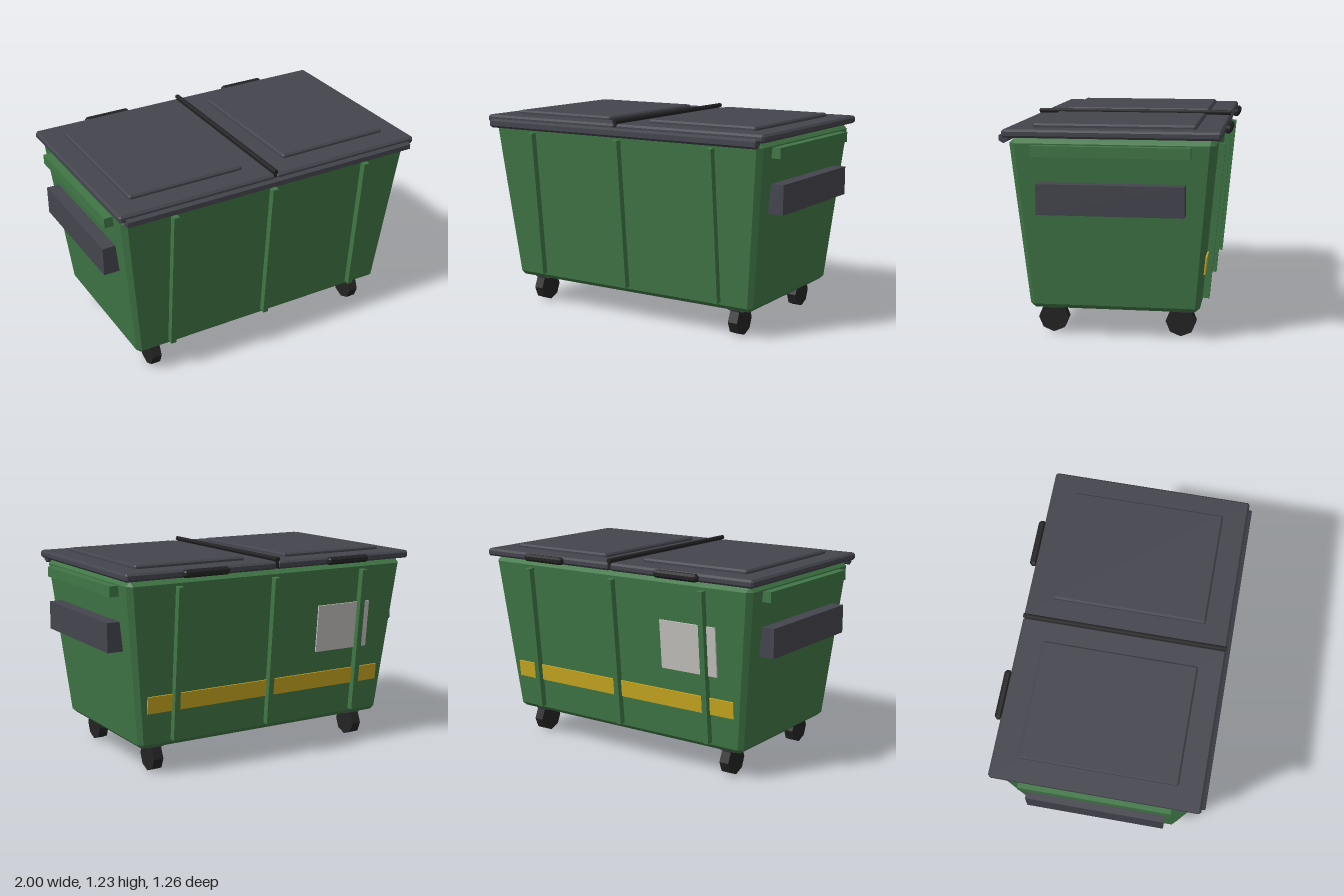
import * as THREE from 'three';
import { ConvexGeometry } from 'three/addons/geometries/ConvexGeometry.js';

const material = (name, color) => {
  const m = new THREE.MeshStandardMaterial({ color });
  m.name = name;
  return m;
};

// Box with chamfered edges; reshape can taper its points
function chamferBox(w, h, d, c, reshape = (p) => p) {
  const points = [];
  for (const sx of [-1, 1]) for (const sy of [-1, 1]) for (const sz of [-1, 1]) {
    for (let axis = 0; axis < 3; axis++) {
      const inset = [0, 1, 2].map((i) => (i === axis ? 0 : c));
      points.push(reshape(new THREE.Vector3(
        sx * (w / 2 - inset[0]), sy * (h / 2 - inset[1]), sz * (d / 2 - inset[2]))));
    }
  }
  return new ConvexGeometry(points);
}

export function createModel() {
  const green = material('body green', 0x407646);
  const grey = material('lid grey', 0x44444e);
  const black = material('rubber black', 0x232325);
  const yellow = material('stripe yellow', 0xc8a720);
  const silver = material('label silver', 0xc4c2be);

  const model = new THREE.Group();
  model.name = 'wheeledBin';
  const bin = new THREE.Group();
  bin.name = 'bin';
  bin.position.z = 0.006;
  model.add(bin);

  const add = (name, geometry, mat, x = 0, y = 0, z = 0, parent = bin) => {
    const mesh = new THREE.Mesh(geometry, mat);
    mesh.name = name;
    mesh.position.set(x, y, z);
    parent.add(mesh);
    return mesh;
  };

  // Tapered body, wider at the rim
  const rise = (y) => (y - 0.19) / 0.935;
  const wallZ = (y) => 0.483 + 0.086 * rise(y);
  const lean = Math.atan(0.086 / 0.935);
  add('body', chamferBox(1.7, 0.98, 0.966, 0.026, (p) => {
    p.y += 0.656;
    p.x *= 1 + (0.095 / 0.85) * rise(p.y);
    p.z *= wallZ(p.y) / 0.483;
    return p;
  }), green);
  add('rimSeal', new THREE.BoxGeometry(1.76, 0.03, 1.02), black, 0, 1.147, 0);

  // Leaning ribs on front and back
  const ribGeometry = new THREE.BoxGeometry(0.034, 0.9, 0.06);
  for (const turn of [0, Math.PI]) {
    const wall = new THREE.Group();
    wall.name = turn ? 'backRibs' : 'frontRibs';
    wall.rotation.y = turn;
    bin.add(wall);
    for (const x of [-0.635, 0, 0.635]) {
      add('rib', ribGeometry, green, x, 0.655, wallZ(0.655) + 0.009, wall).rotation.x = lean;
    }
  }

  // Thin plates on the back wall
  const backPlate = (name, mat, x, y, w, h) => {
    add(name, new THREE.BoxGeometry(w, h, 0.0095), mat, x, y, -wallZ(y) - 0.004).rotation.x = -lean;
  };
  backPlate('warningStripe', yellow, 0, 0.43, 1.62, 0.1);
  backPlate('label', silver, -0.52, 0.755, 0.38, 0.29);

  for (const side of [-1, 1]) {
    // Lifting pocket and rail on each end
    add('liftPocket', new THREE.BoxGeometry(0.12, 0.17, 0.815), grey, side * 0.94, 0.82, 0);
    add('sideRail', new THREE.BoxGeometry(0.08, 0.06, 0.875), green, side * 0.953, 1.083, 0);

    // Lid half, raised panel and hinge
    add('lid', chamferBox(0.972, 0.046, 1.202, 0.012), grey, side * 0.489, 1.175, 0);
    add('lidPanel', chamferBox(0.71, 0.04, 0.91, 0.01), grey, side * 0.492, 1.2, 0);
    add('hinge', chamferBox(0.296, 0.044, 0.044, 0.013), black, side * 0.488, 1.176, -0.616);

    // Casters
    for (const end of [-1, 1]) {
      add('casterPlate', new THREE.BoxGeometry(0.1, 0.024, 0.1), grey, side * 0.715, 0.16, end * 0.369);
      const wheel = new THREE.CylinderGeometry(0.087, 0.087, 0.06, 8).toNonIndexed();
      wheel.computeVertexNormals();
      add('wheel', wheel, black, side * 0.715, 0.087, end * 0.369).rotation.z = Math.PI / 2;
    }
  }

  // Rod between the lids
  const rod = new THREE.CylinderGeometry(0.014, 0.014, 1.2, 8);
  add('centreRod', rod, black, 0, 1.211, 0).rotation.x = Math.PI / 2;
  add('lidGap', new THREE.BoxGeometry(0.02, 0.04, 1.19), black, 0, 1.176, 0);

  // Six-sided handle bar along the front lip
  const bar = new THREE.CylinderGeometry(0.029, 0.029, 1.875, 6).toNonIndexed();
  bar.computeVertexNormals();
  bar.rotateY(Math.PI / 6);
  add('frontHandle', bar, grey, 0, 1.148, 0.597).rotation.z = Math.PI / 2;

  return model;
}
